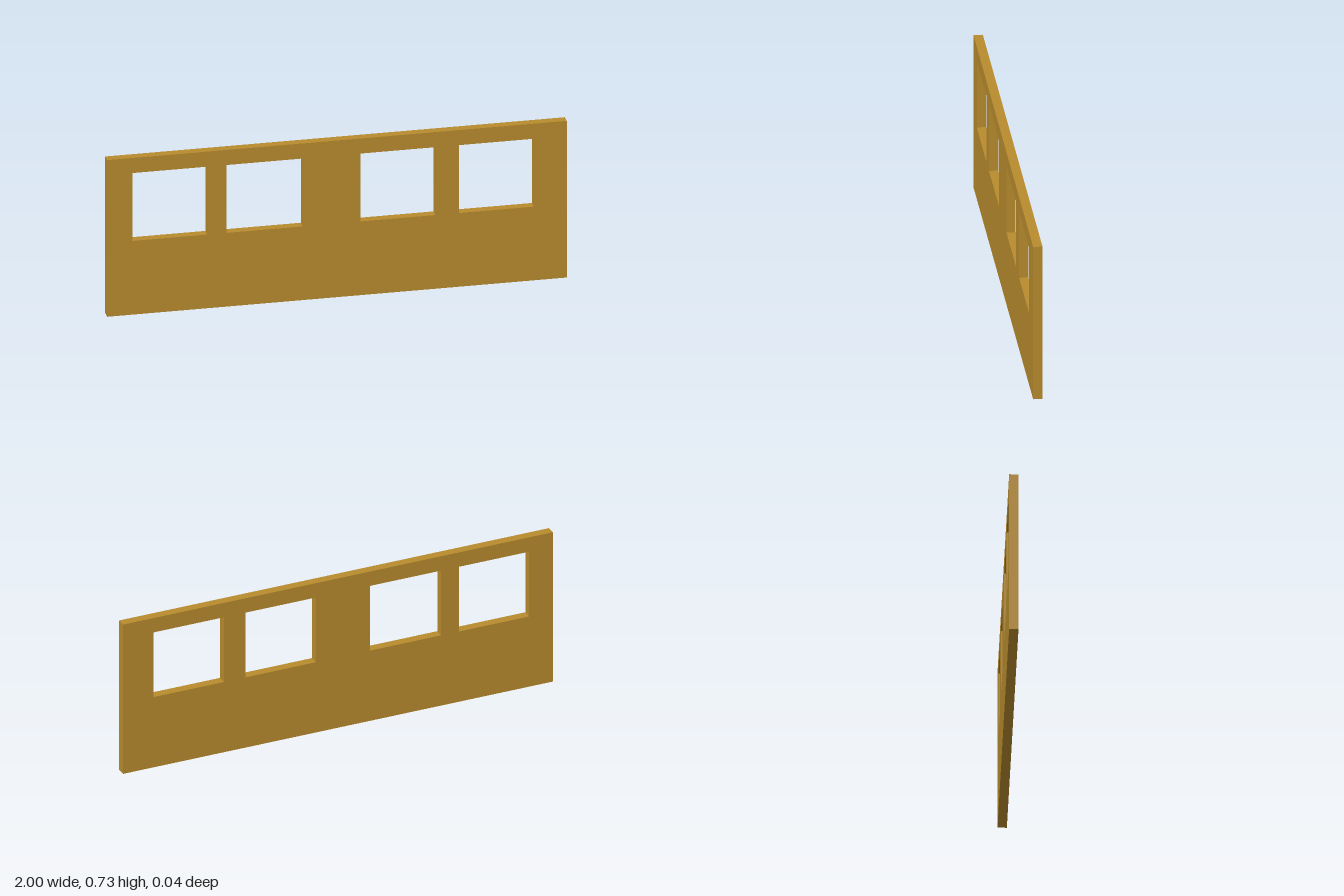
import * as THREE from 'three';

const WIDTH = 2, HEIGHT = 0.727, DEPTH = 0.04;
const SILL = 0.342, LINTEL = 0.657;
// left and right edge of each window opening
const WINDOWS = [[-0.89, -0.564], [-0.48, -0.149], [0.103, 0.429], [0.53, 0.857]];

// Rectangle traced counter-clockwise on a Shape or Path
function rectangle(path, x0, y0, x1, y1) {
  path.moveTo(x0, y0);
  path.lineTo(x1, y0);
  path.lineTo(x1, y1);
  path.lineTo(x0, y1);
  path.closePath();
  return path;
}

export function createModel() {
  const group = new THREE.Group();
  group.name = 'windowWall';

  // Wall panel with four window openings
  const outline = rectangle(new THREE.Shape(), -WIDTH / 2, 0, WIDTH / 2, HEIGHT);
  for (const [x0, x1] of WINDOWS) {
    outline.holes.push(rectangle(new THREE.Path(), x0, SILL, x1, LINTEL));
  }
  const geometry = new THREE.ExtrudeGeometry(outline, { depth: DEPTH, bevelEnabled: false });
  geometry.translate(0, 0, -DEPTH / 2);

  const wall = new THREE.Mesh(geometry, new THREE.MeshStandardMaterial({ color: 0xb88c2e }));
  wall.name = 'wallPanel';
  group.add(wall);
  return group;
}
